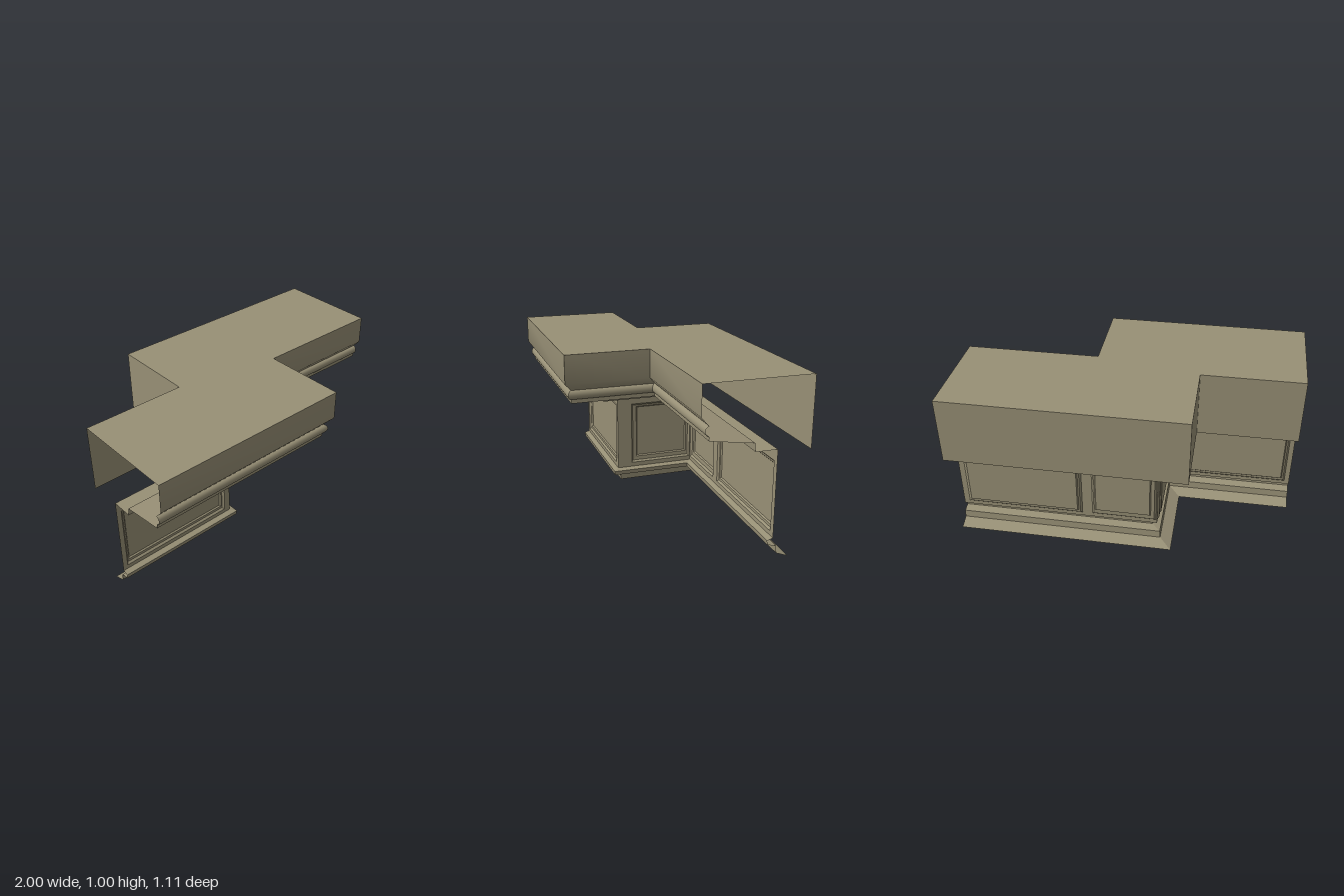
import * as THREE from 'three';

const paint = new THREE.MeshStandardMaterial({ color: 0x989076, side: THREE.DoubleSide });
paint.name = 'olive paint';

const STEP = 0.5;      // how far the right half is set back
const WALL = 0.135;    // z of the front wall
const CORNER = -0.345; // x of the outer corner relative to its z

// plan outline of the front at a given depth
const outline = (z) => [[-1, z], [z + CORNER, z], [z + CORNER, z - STEP], [1, z - STEP]];

function mesh(name, geometry) {
  const m = new THREE.Mesh(geometry, paint);
  m.name = name;
  return m;
}

// grid of rows of points, smooth across the rows
function sheet(rows) {
  const w = rows[0].length, index = [];
  for (let j = 0; j < rows.length - 1; j++) {
    for (let i = 0; i < w - 1; i++) {
      const a = j * w + i, b = a + w;
      index.push(a, b, b + 1, a, b + 1, a + 1);
    }
  }
  const g = new THREE.BufferGeometry();
  g.setAttribute('position', new THREE.Float32BufferAttribute(rows.flat(2), 3));
  g.setIndex(index);
  g.computeVertexNormals();
  return g;
}

// profile [z, y] listed downwards, mitred around the stepped outline
function moulding(name, profile) {
  const group = new THREE.Group();
  group.name = name;
  for (let s = 0; s < 3; s++) {
    const rows = profile.map(([z, y]) => {
      const p = outline(z);
      return [p[s], p[s + 1]].map(([x, pz]) => [x, y, pz]);
    });
    group.add(mesh(name + 'Run', sheet(rows)));
  }
  return group;
}

// rectangle [x0, y0, x1, y1] as corners at depth z
const corners = ([x0, y0, x1, y1], z) => [[x0, y0, z], [x1, y0, z], [x1, y1, z], [x0, y1, z]];
const grow = ([x0, y0, x1, y1], d) => [x0 - d, y0 - d, x1 + d, y1 + d];

// recessed panel: chamfer, flat border, sharp step, field
function panel(outer, inner) {
  const group = new THREE.Group();
  group.name = 'recessedPanel';
  const loops = [
    corners(outer, 0),
    corners(grow(outer, -0.011), -0.011),
    corners(grow(inner, 0.007), -0.012),
    corners(inner, -0.02),
  ];
  for (let j = 0; j < 3; j++) {
    for (let k = 0; k < 4; k++) {
      const n = (k + 1) % 4, o = loops[j], i = loops[j + 1];
      group.add(mesh('panelBorder', sheet([[i[k], i[n]], [o[k], o[n]]])));
    }
  }
  const c = loops[3];
  group.add(mesh('panelField', sheet([[c[3], c[2]], [c[0], c[1]]])));
  return group;
}

// flat wall with openings for its panels
function wall(name, length, panels) {
  const group = new THREE.Group();
  group.name = name;
  const toPoints = (r) => corners(r, 0).map(([x, y]) => new THREE.Vector2(x, y));
  const shape = new THREE.Shape(toPoints([0, 0.12, length, 0.62]));
  for (const [outer, inner] of panels) {
    shape.holes.push(new THREE.Path(toPoints(outer)));
    group.add(panel(outer, inner));
  }
  group.add(mesh('wallFace', new THREE.ShapeGeometry(shape)));
  return group;
}

export function createModel() {
  const model = new THREE.Group();
  model.name = 'steppedCounter';

  // crown: fascia and bead are smooth, the rest is crisp
  model.add(moulding('fascia', [[0.557, 1], [0.557, 0.83], [0.515, 0.783]]));
  const bead = [];
  for (let i = 0; i <= 8; i++) {
    const a = (i / 8) * Math.PI;
    bead.push([0.515 + 0.021 * Math.sin(a), 0.756 + 0.027 * Math.cos(a)]);
  }
  model.add(moulding('bead', bead));
  const crisp = (name, pts) => {
    for (let i = 0; i < pts.length - 1; i++) model.add(moulding(name, [pts[i], pts[i + 1]]));
  };
  crisp('crownMoulding', [[0.515, 0.729], [0.515, 0.705], [0.264, 0.668], [0.26, 0.62], [WALL, 0.62]]);

  // base moulding and toe kick
  crisp('baseMoulding', [[WALL, 0.12], [0.168, 0.11], [0.165, 0.084], [0.115, 0.073], [0.111, 0.028], [0.04, 0]]);

  // panelled walls
  const x = WALL + CORNER;
  const front = wall('frontWall', x + 1, [
    [[0.03, 0.145, 0.75, 0.547], [0.057, 0.178, 0.725, 0.518]],
  ]);
  front.position.set(-1, 0, WALL);
  const side = wall('returnWall', STEP, [
    [[0.093, 0.147, 0.495, 0.547], [0.135, 0.19, 0.465, 0.518]],
  ]);
  side.position.set(x, 0, WALL);
  side.rotation.y = Math.PI / 2;
  const rear = wall('setBackWall', 1 - x, [
    [[0.006, 0.147, 0.396, 0.547], [0.045, 0.192, 0.37, 0.518]],
    [[0.458, 0.145, 1.175, 0.547], [0.485, 0.178, 1.153, 0.518]],
  ]);
  rear.position.set(x, 0, WALL - STEP);
  model.add(front, side, rear);

  // back apron
  const back = [[1, -0.557], [-0.4, -0.557], [-0.4, -0.06], [-1, -0.06]];
  for (let i = 0; i < 3; i++) {
    const rows = [1, 0.6].map((y) => [back[i], back[i + 1]].map(([px, pz]) => [px, y, pz]));
    model.add(mesh('backApron', sheet(rows)));
  }

  // countertop
  const plan = [...outline(0.557), ...back].map(([px, pz]) => new THREE.Vector2(px, -pz));
  const top = mesh('countertop', new THREE.ShapeGeometry(new THREE.Shape(plan)));
  top.rotation.x = -Math.PI / 2;
  top.position.y = 1;
  model.add(top);

  return model;
}
